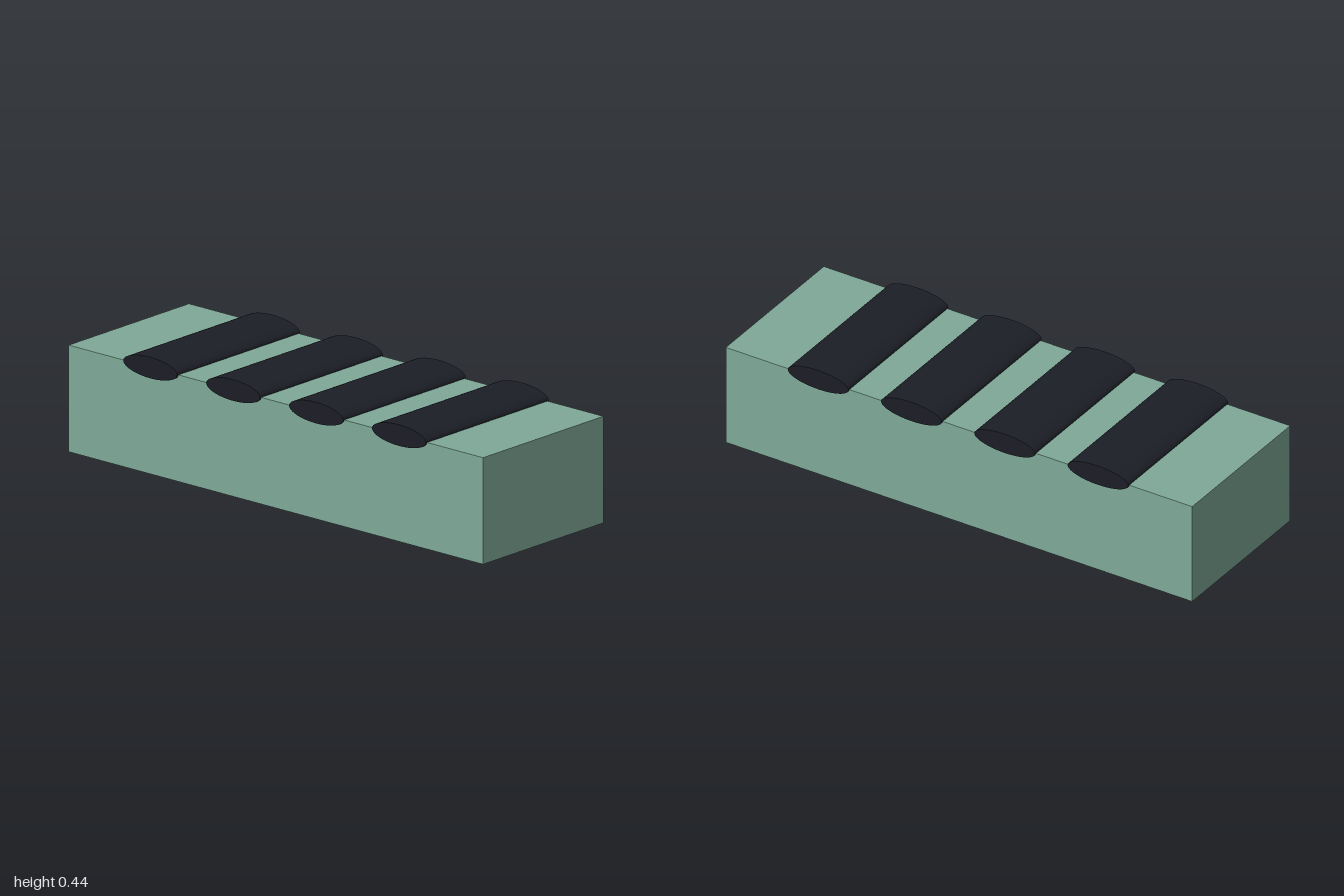
import * as THREE from 'three';

export function createModel() {
  const group = new THREE.Group();
  const green = new THREE.MeshStandardMaterial({ color: 0x7fa998 });
  const dark = new THREE.MeshStandardMaterial({ color: 0x1c1e26 });

  // Solid rectangular block
  const block = new THREE.Mesh(new THREE.BoxGeometry(2, 0.404, 0.654), green);
  block.name = 'block';
  block.position.y = 0.202;
  group.add(block);

  // Flattened rollers, half sunk into the top and running front to back
  const rollerGeometry = new THREE.CylinderGeometry(1, 1, 0.667, 48);
  rollerGeometry.rotateX(Math.PI / 2);
  rollerGeometry.scale(0.13, 0.04, 1);
  for (let i = 0; i < 4; i++) {
    const roller = new THREE.Mesh(rollerGeometry, dark);
    roller.name = `roller${i + 1}`;
    roller.position.set(-0.6 + i * 0.4, 0.405, 0);
    group.add(roller);
  }

  return group;
}
